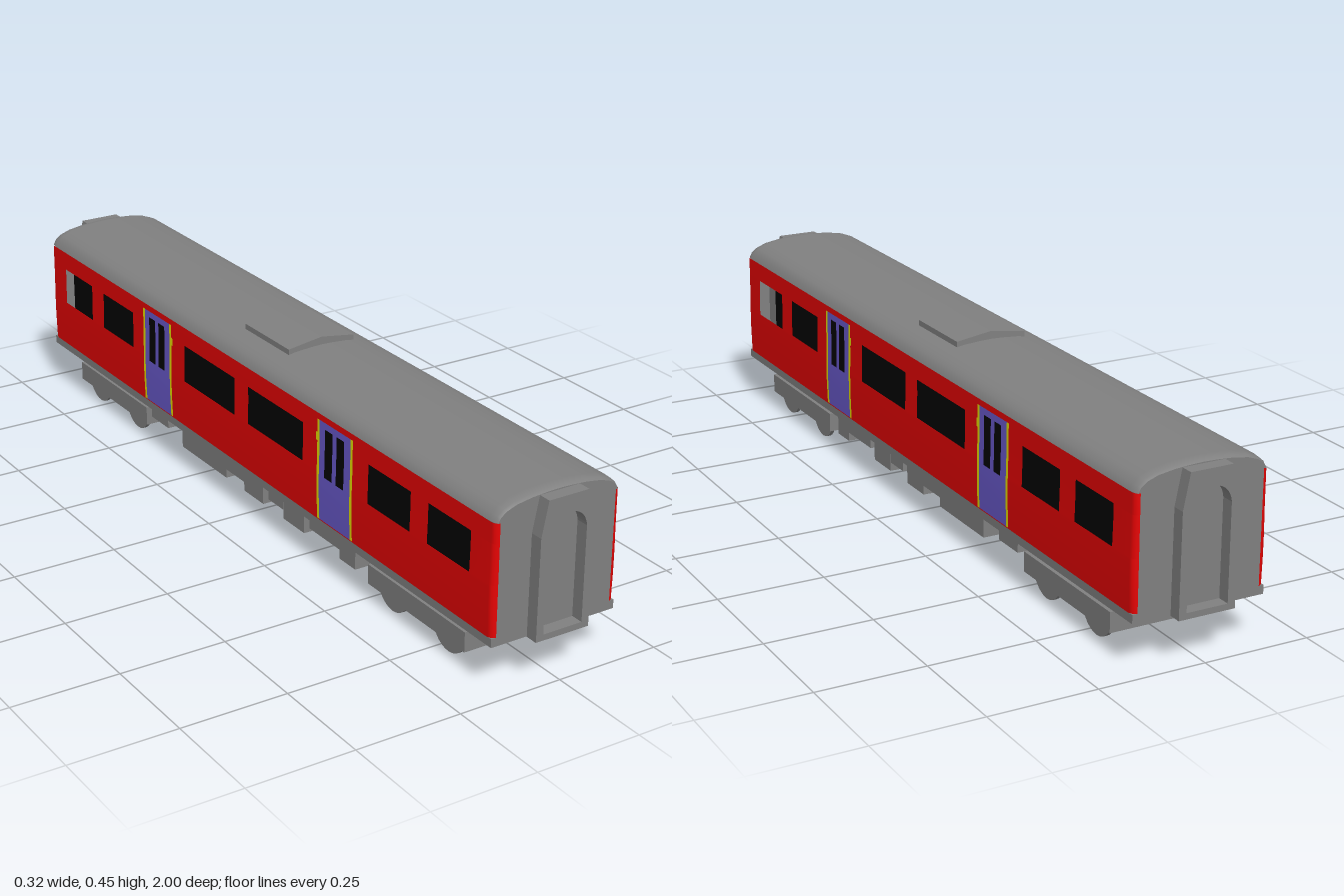
import * as THREE from 'three';

const mat = (name, color) => {
  const m = new THREE.MeshStandardMaterial({ color });
  m.name = name;
  return m;
};

// Half cross-section of the car: side wall, then roof from eaves to ridge
const SIDE = [[0.157, 0.126], [0.159, 0.19], [0.159, 0.24], [0.1575, 0.3], [0.157, 0.383]];
const ROOF = [[0.157, 0.383], [0.15, 0.397], [0.135, 0.409], [0.11, 0.419], [0.07, 0.426], [0.03, 0.429], [0, 0.43]];
const mirror = (pts) => pts.map(([x, y]) => [-x, y]).reverse();

// Stations along the car: z, and how far the section is drawn in there
const flip = (stations) => stations.map(([z, t]) => [-z, t]).reverse();
const ROOF_END = [[0.97, 1], [0.962, 0.4], [0.945, 0]];
const WALL_END = [[0.97, 1], [0.9685, 0.6], [0.964, 0.2], [0.957, 0]];
const roofIn = ([x, y], t) => [x * (1 - 0.04 * t), y - 0.007 * t * (y - 0.383) / 0.047];
const wallIn = ([x, y], t) => [x + (Math.sign(x) * 0.145 - x) * t, y];

// Skin through the profile (right to left over the top) at each station (front to back)
function loft(profile, stations, drawIn) {
  const pos = [], idx = [], n = profile.length;
  stations.forEach(([z, t], i) => profile.forEach((p, j) => {
    pos.push(...drawIn(p, t), z);
    if (i + 1 < stations.length && j + 1 < n) {
      const a = i * n + j;
      idx.push(a, a + n, a + 1, a + 1, a + n, a + n + 1);
    }
  }));
  const g = new THREE.BufferGeometry();
  g.setAttribute('position', new THREE.Float32BufferAttribute(pos, 3));
  g.setIndex(idx);
  g.computeVertexNormals();
  return g;
}

// Wall half-width at a given height
function wallX(y) {
  const k = Math.max(1, SIDE.findIndex((p) => p[1] >= y));
  const [a, b] = [SIDE[k - 1], SIDE[k]];
  return a[0] + (b[0] - a[0]) * (y - a[1]) / (b[1] - a[1]);
}

export function createModel() {
  const grey = mat('grey', 0x808080);
  const red = mat('red', 0xe60202);
  const black = mat('black', 0x020202);
  const purple = mat('purple', 0x6a5acd);
  const yellow = mat('yellow', 0xf0ea00);

  const root = new THREE.Group();
  root.name = 'railCar';
  const add = (name, geo, material, parent = root) => {
    const m = new THREE.Mesh(geo, material);
    m.name = name;
    parent.add(m);
    return m;
  };
  // Box given by its limits, symmetric in x
  const block = (name, hx, y0, y1, z0, z1, parent = root, material = grey) => {
    const m = add(name, new THREE.BoxGeometry(2 * hx, y1 - y0, Math.abs(z1 - z0)), material, parent);
    m.position.set(0, (y0 + y1) / 2, (z0 + z1) / 2);
  };
  // Skin that follows the wall, on both sides of the car
  const skin = (name, stations, y0, y1, lift, material) => {
    const mid = SIDE.map((p) => p[1]).filter((y) => y > y0 && y < y1);
    const strip = [y0, ...mid, y1].map((y) => [wallX(y) + lift, y]);
    add(name + 'Right', loft(strip, stations, wallIn), material);
    add(name + 'Left', loft(mirror(strip), stations, wallIn), material);
  };
  const panel = (name, z, width, ...rest) => skin(name, [[z + width / 2, 0], [z - width / 2, 0]], ...rest);

  // Side walls: bands below and above the windows, and piers between them
  const full = [...WALL_END, ...flip(WALL_END)];
  skin('lowerWall', full, 0.126, 0.245, 0, red);
  skin('upperWall', full, 0.337, 0.383, 0, red);
  const piers = [[...WALL_END, [0.8915, 0]], [[0.7445, 0], [0.6815, 0]], [[0.5245, 0], [0.2655, 0]]];
  for (const p of piers) {
    skin('windowPier', p, 0.245, 0.337, 0, red);
    skin('windowPier', flip(p), 0.245, 0.337, 0, red);
  }
  skin('middlePier', [[0.0305, 0], [-0.0305, 0]], 0.245, 0.337, 0, red);

  // Roof and floor
  add('roof', loft([...ROOF, ...mirror(ROOF).slice(1)], [...ROOF_END, ...flip(ROOF_END)], roofIn), grey);
  block('floor', 0.157, 0.107, 0.127, -0.97, 0.97);

  // Dark interior behind the window openings
  block('interior', 0.103, 0.127, 0.38, -0.965, 0.917, root, black);
  block('interiorEnd', 0.103, 0.127, 0.38, 0.917, 0.965);
  block('ceiling', 0.15, 0.376, 0.382, -0.965, 0.965);
  for (const s of [1, -1]) block('bulkhead', 0.144, 0.127, 0.38, s * 0.958, s * 0.966);

  // Twin-leaf doors with yellow edges and a small lamp beside each
  for (const s of [1, -1]) {
    const z = s * 0.397;
    for (const e of [1, -1]) {
      panel('doorEdge', z + e * 0.0655, 0.009, 0.13, 0.37, 0.002, yellow);
      panel('doorWindow', z + e * 0.023, 0.03, 0.24, 0.355, 0.003, black);
    }
    panel('door', z, 0.122, 0.13, 0.37, 0.002, purple);
    panel('doorLamp', s * 0.325, 0.007, 0.318, 0.338, 0.002, yellow);
  }

  // Ends: wall and gangway with an arched opening
  const half = [...SIDE.map((p) => wallIn(p, 1)), ...ROOF.map((p) => roofIn(p, 1))];
  const wall = new THREE.Shape([...half, ...mirror(half).slice(1)].map(([x, y]) => new THREE.Vector2(x, y)));
  const frame = new THREE.Shape();
  [[-0.067, 0.106], [0.067, 0.106], [0.066, 0.34], [0.05, 0.42], [-0.05, 0.42], [-0.066, 0.34]]
    .forEach(([x, y], i) => (i ? frame.lineTo(x, y) : frame.moveTo(x, y)));
  const arch = new THREE.Path();
  arch.moveTo(-0.049, 0.12);
  arch.lineTo(-0.049, 0.34);
  arch.bezierCurveTo(-0.046, 0.365, -0.03, 0.382, 0, 0.382);
  arch.bezierCurveTo(0.03, 0.382, 0.046, 0.365, 0.049, 0.34);
  arch.lineTo(0.049, 0.12);
  frame.holes.push(arch);
  for (const [name, turn] of [['front', 0], ['back', Math.PI]]) {
    const end = new THREE.Group();
    end.name = name + 'End';
    end.rotation.y = turn;
    root.add(end);
    add('endWall', new THREE.ShapeGeometry(wall), grey, end).position.z = 0.97;
    add('gangway', new THREE.ExtrudeGeometry(frame, { depth: 0.035, bevelEnabled: false }), grey, end).position.z = 0.965;
  }

  // Roof unit with a shallow ridge
  const unit = new THREE.Shape([[-0.088, 0.418], [0.088, 0.418], [0.088, 0.436], [0, 0.449], [-0.088, 0.436]]
    .map(([x, y]) => new THREE.Vector2(x, y)));
  add('roofUnit', new THREE.ExtrudeGeometry(unit, { depth: 0.19, bevelEnabled: false }), grey).position.z = -0.095;

  // Bogies: frame, pivot, wheels
  const wheelGeo = new THREE.CylinderGeometry(0.058, 0.058, 0.009, 28).rotateZ(Math.PI / 2);
  for (const s of [1, -1]) {
    const bogie = new THREE.Group();
    bogie.name = s > 0 ? 'frontBogie' : 'backBogie';
    bogie.position.z = s * 0.68;
    root.add(bogie);
    block('bogieFrame', 0.139, 0.037, 0.084, -0.178, 0.178, bogie);
    add('bogiePivot', new THREE.CylinderGeometry(0.035, 0.035, 0.03, 20), grey, bogie).position.y = 0.097;
    for (const z of [-0.103, 0.103])
      for (const x of [-0.12, 0.12])
        add('wheel', wheelGeo, grey, bogie).position.set(x, 0.058, z);
  }

  // Underfloor equipment: front z, back z, bottom y
  const boxes = [[0.451, 0.389, 0.048], [0.389, 0.263, 0.07], [0.241, 0.153, 0.048], [0.15, 0.086, 0.07],
    [0.063, -0.023, 0.048], [-0.023, -0.106, 0.07], [-0.106, -0.318, 0.048], [-0.39, -0.474, 0.07]];
  for (const [z0, z1, y] of boxes) block('equipmentBox', 0.139, y, 0.11, z0, z1);

  return root;
}
